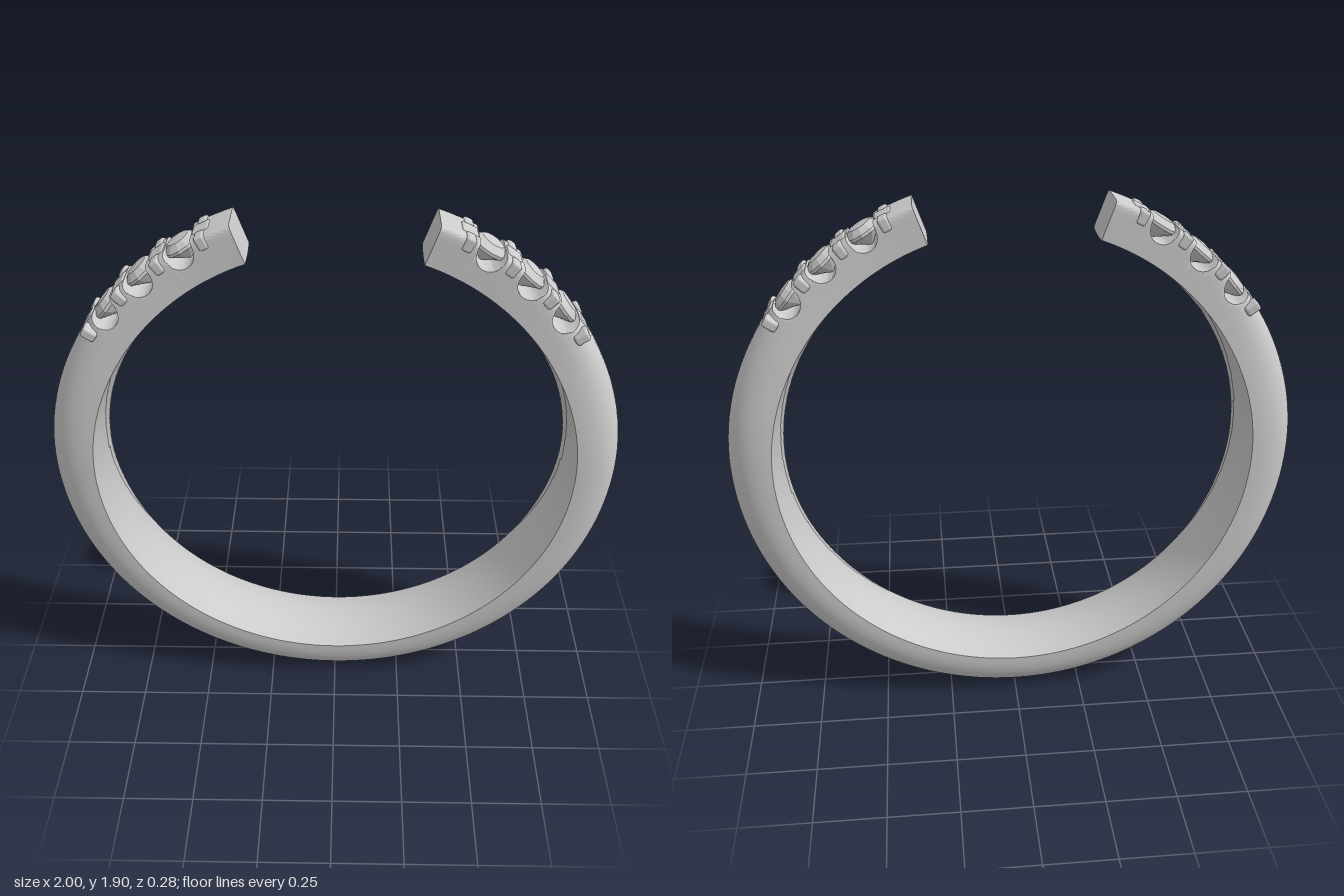
import * as THREE from 'three';
import { toCreasedNormals } from 'three/addons/utils/BufferGeometryUtils.js';
import { RoundedBoxGeometry } from 'three/addons/geometries/RoundedBoxGeometry.js';

const RAD = Math.PI / 180;
const END = 19.8;                    // half of the opening, degrees from the top
const STONES = [31, 41, 51];
const PRONGS = [26, 36, 46, 56];
const { lerp, smoothstep, clamp } = THREE.MathUtils;

// Sizes that change from the square ends (0) to the full rounded band (1)
const blend = t => smoothstep(t, END, 90);
const outerRadius = t => lerp(0.96, 1, blend(t));
const halfWidth = t => lerp(0.08, 0.14, blend(t));

// Cross-section loop as [z, radius] at t degrees from the top
function section(t) {
  const b = blend(t), w = halfWidth(t), ro = outerRadius(t);
  const edge = lerp(0.826, 0.84, b), crest = lerp(0.822, 0.812, b);
  const n = 2.5 + 11 * Math.pow(1 - b, 3);
  const loop = [];
  const near = STONES.reduce((p, q) => Math.abs(q - t) < Math.abs(p - t) ? q : p);
  const off = Math.abs(near - t) * RAD;

  // Round groove cut across the band under each stone
  const d = off * 0.95;
  const cut = d < 0.048 ? outerRadius(near) - 0.022 - Math.sqrt(0.048 ** 2 - d * d) : 9;
  for (let i = 0; i <= 40; i++) {
    const c = Math.cos(Math.PI * i / 40), s = Math.max(0, Math.sin(Math.PI * i / 40));
    const z = w * Math.sign(c) * Math.pow(Math.abs(c), 2 / n);
    const r = edge + (ro - edge) * Math.pow(i % 40 ? s : 0, 2 / n);
    loop.push([z, Math.min(r, cut)]);
  }

  // Inner face with a drilled hole behind each stone
  for (let i = 1; i < 36; i++) {
    const k = -1 + 2 * i / 36;
    const dist = Math.hypot(k * w, off * 0.82);
    const hole = 1 - clamp((dist - 0.034) / 0.006, 0, 1);
    loop.push([k * w, lerp(crest + (edge - crest) * k * k, 0.885, hole)]);
  }
  return loop;
}

function bandGeometry() {
  // Fine steps where the stones sit, coarse steps elsewhere
  const angles = [];
  for (let i = 0; i <= 124; i++) angles.push(END + 0.3 * i);
  const last = angles[124];
  for (let i = 1; i < 110; i++) angles.push(lerp(last, 360 - last, i / 110));
  for (let i = 124; i >= 0; i--) angles.push(360 - END - 0.3 * i);

  const pos = [], idx = [];
  const put = (a, z, r) => pos.push(r * Math.sin(a * RAD), 1 + r * Math.cos(a * RAD), z);
  let count = 0;
  for (const a of angles) {
    const loop = section(Math.min(a, 360 - a));
    count = loop.length;
    loop.forEach(([z, r]) => put(a, z, r));
  }
  const rows = angles.length;
  for (let i = 0; i < rows - 1; i++) {
    for (let j = 0; j < count; j++) {
      const k = (j + 1) % count, p = i * count, q = p + count;
      idx.push(p + j, q + j, p + k, q + j, q + k, p + k);
    }
  }
  // Flat end caps
  const c0 = rows * count, tail = (rows - 1) * count;
  put(END, 0, 0.89);
  put(360 - END, 0, 0.89);
  for (let j = 0; j < count; j++) {
    const k = (j + 1) % count;
    idx.push(c0, j, k, c0 + 1, tail + k, tail + j);
  }
  const g = new THREE.BufferGeometry();
  g.setAttribute('position', new THREE.Float32BufferAttribute(pos, 3));
  g.setIndex(idx);
  return toCreasedNormals(g, 35 * RAD);
}

export function createModel() {
  const model = new THREE.Group();
  const metal = new THREE.MeshStandardMaterial({ color: 0xcccccc });
  const facet = new THREE.MeshStandardMaterial({ color: 0xcccccc, flatShading: true });

  const band = new THREE.Mesh(bandGeometry(), metal);
  band.name = 'band';
  model.add(band);

  const stoneProfile = [[0, -0.055], [0.066, -0.006], [0.066, 0.004], [0.04, 0.023], [0, 0.027]]
    .map(p => new THREE.Vector2(...p));
  const stoneGeo = new THREE.LatheGeometry(stoneProfile, 12);
  const bridgeGeo = new RoundedBoxGeometry(0.058, 0.05, 0.066, 2, 0.006);
  const clawGeo = new RoundedBoxGeometry(0.036, 0.05, 0.055, 2, 0.01);

  // Group whose local y points outward from the band at t degrees
  const mount = (name, side, t, r) => {
    const g = new THREE.Group();
    g.name = name;
    g.position.set(side * r * Math.sin(t * RAD), 1 + r * Math.cos(t * RAD), 0);
    g.rotation.z = -side * t * RAD;
    model.add(g);
    return g;
  };
  const add = (parent, name, geo, z = 0, y = 0) => {
    const m = new THREE.Mesh(geo, name === 'stone' ? facet : metal);
    m.name = name;
    m.position.set(0, y, z);
    parent.add(m);
  };

  for (const side of [-1, 1]) {
    for (const t of STONES) {
      add(mount('stoneSetting', side, t, outerRadius(t) - 0.02), 'stone', stoneGeo);
    }
    // Raised cross-shaped holders between the stones
    for (const t of PRONGS) {
      const g = mount('prongs', side, t, outerRadius(t) - 0.021);
      add(g, 'bridge', bridgeGeo);
      for (const s of [-1, 1]) add(g, 'claw', clawGeo, s * (halfWidth(t) - 0.024), 0.001);
    }
  }
  return model;
}
